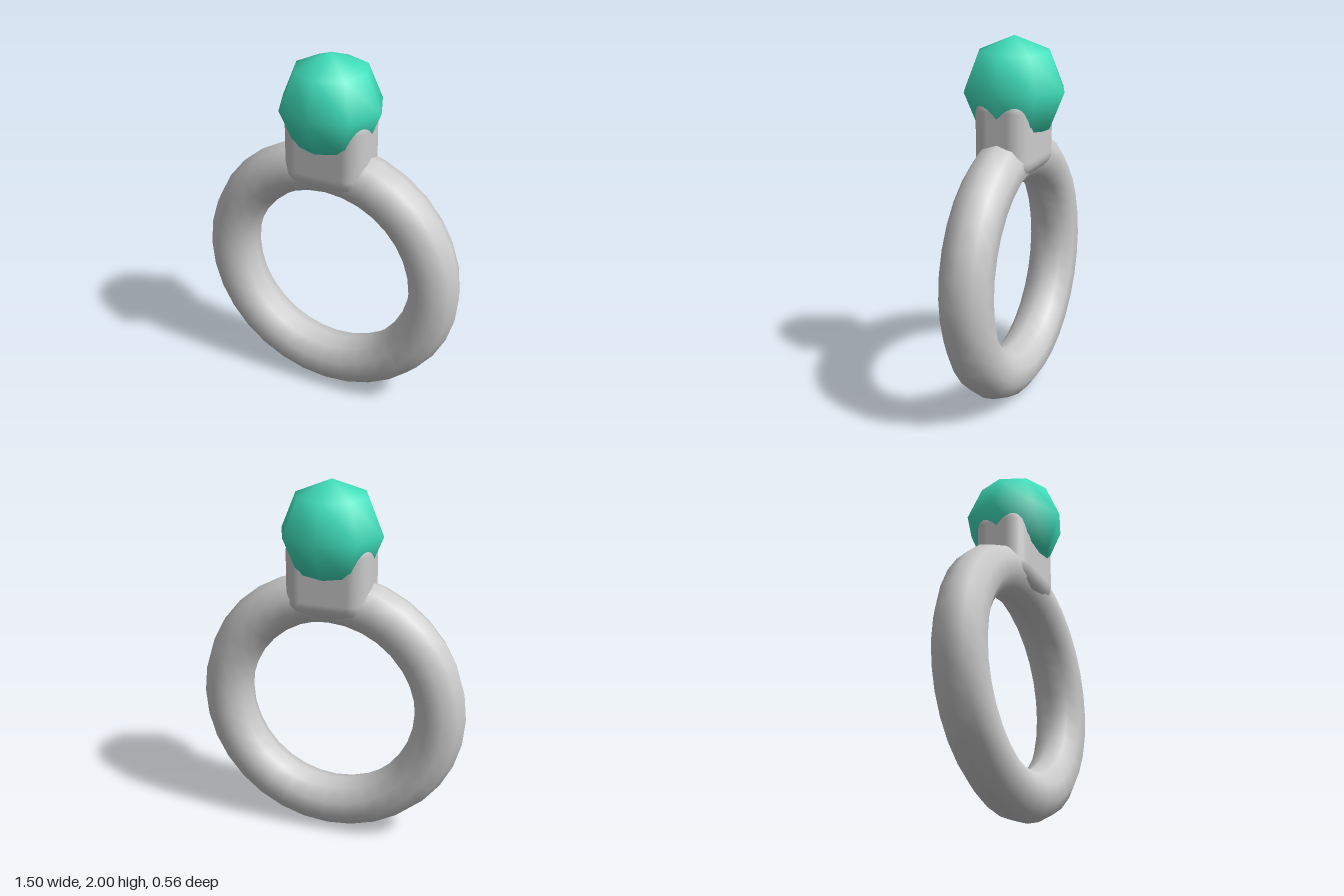
import * as THREE from 'three';
import { RoundedBoxGeometry } from 'three/addons/geometries/RoundedBoxGeometry.js';

export function createModel() {
  const model = new THREE.Group();
  model.name = 'gemRing';

  const silver = new THREE.MeshStandardMaterial({ color: 0xcccccc });
  silver.name = 'silver';
  const turquoise = new THREE.MeshStandardMaterial({ color: 0x40e0bc });
  turquoise.name = 'turquoise';

  const addPart = (name, geometry, material, y) => {
    const mesh = new THREE.Mesh(geometry, material);
    mesh.name = name;
    mesh.position.y = y;
    model.add(mesh);
  };

  // Upright finger band
  addPart('band', new THREE.TorusGeometry(0.61, 0.14, 10, 32), silver, 0.755);

  // Rounded block that grips the band and cups the gem
  addPart('setting', new RoundedBoxGeometry(0.46, 0.46, 0.308, 3, 0.1), silver, 1.5);

  // Coarse, smoothly shaded eight-sided gem
  addPart('gem', new THREE.SphereGeometry(0.28, 8, 4), turquoise, 1.72);

  return model;
}
